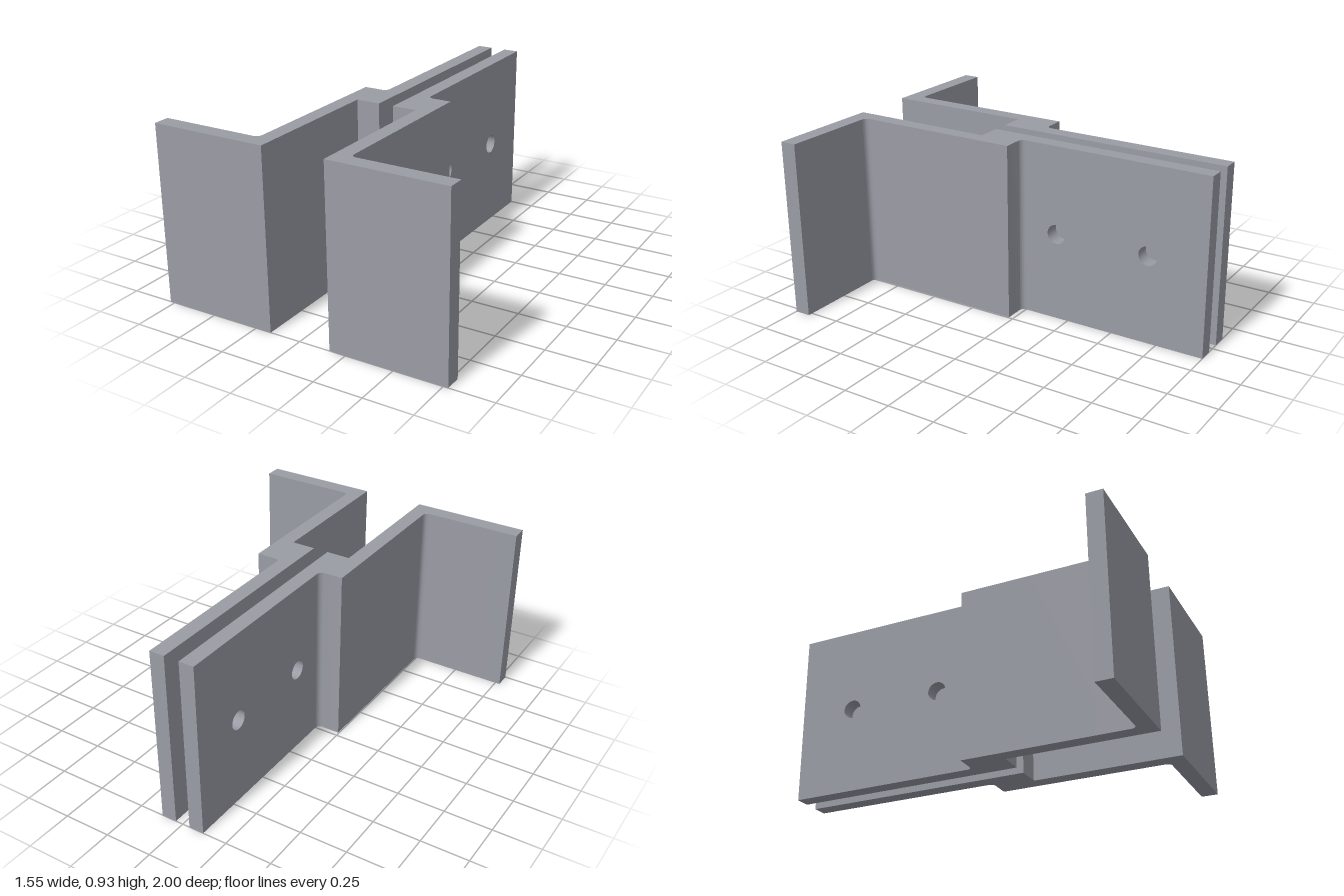
import * as THREE from 'three';
import { toCreasedNormals } from 'three/addons/utils/BufferGeometryUtils.js';

const HEIGHT = 0.925;
const FILLET = 0.027;
const K = FILLET * 0.448; // control offset for a round quarter arc

// Stepped front half of the bracket, drawn in plan (x, z) and extruded upwards
function steppedFlange(s) {
  const shape = new THREE.Shape();
  const to = (x, z) => shape.lineTo(s * x, -z);
  // inner corner at (x, z), entered along z and left along x
  const fillet = (x, z) => {
    to(x, z - FILLET);
    shape.bezierCurveTo(s * x, -(z - K), s * (x + K), -z, s * (x + FILLET), -z);
  };
  shape.moveTo(s * 0.04, 0.002);
  fillet(0.12, 0.025);
  to(0.245, 0.025);
  fillet(0.245, 0.915);
  to(0.775, 0.915);
  to(0.775, 1);
  to(0.165, 1);
  to(0.165, 0.228);
  to(0.04, 0.228);
  shape.closePath();
  const geometry = new THREE.ExtrudeGeometry(shape, { depth: HEIGHT, bevelEnabled: false, curveSegments: 8 });
  geometry.rotateX(-Math.PI / 2);
  return toCreasedNormals(geometry, 0.6);
}

// Rear plate with two bolt holes, drawn in side view (z, y) and extruded along x
function drilledPlate(s) {
  const shape = new THREE.Shape();
  shape.moveTo(-1, 0);
  shape.lineTo(-0.002, 0);
  shape.lineTo(-0.002, HEIGHT);
  shape.lineTo(-1, HEIGHT);
  shape.closePath();
  for (const z of [-0.18, -0.69]) {
    const hole = new THREE.Path();
    hole.absarc(z, HEIGHT / 2, 0.05, 0, Math.PI * 2, true);
    shape.holes.push(hole);
  }
  const geometry = new THREE.ExtrudeGeometry(shape, { depth: 0.08, bevelEnabled: false, curveSegments: 32 });
  geometry.rotateY(-Math.PI / 2);
  geometry.translate(s > 0 ? 0.12 : -0.04, 0, 0);
  return toCreasedNormals(geometry, 0.6);
}

export function createModel() {
  const model = new THREE.Group();
  model.name = 'bracketPair';
  const steel = new THREE.MeshStandardMaterial({ color: 0x9a9ca5 });
  steel.name = 'steelGrey';

  // Two mirrored brackets facing each other across a narrow gap
  for (const s of [1, -1]) {
    const bracket = new THREE.Group();
    bracket.name = s > 0 ? 'leftBracket' : 'rightBracket';
    const flange = new THREE.Mesh(steppedFlange(s), steel);
    flange.name = 'steppedFlange';
    const plate = new THREE.Mesh(drilledPlate(s), steel);
    plate.name = 'drilledPlate';
    bracket.add(flange, plate);
    model.add(bracket);
  }
  return model;
}
